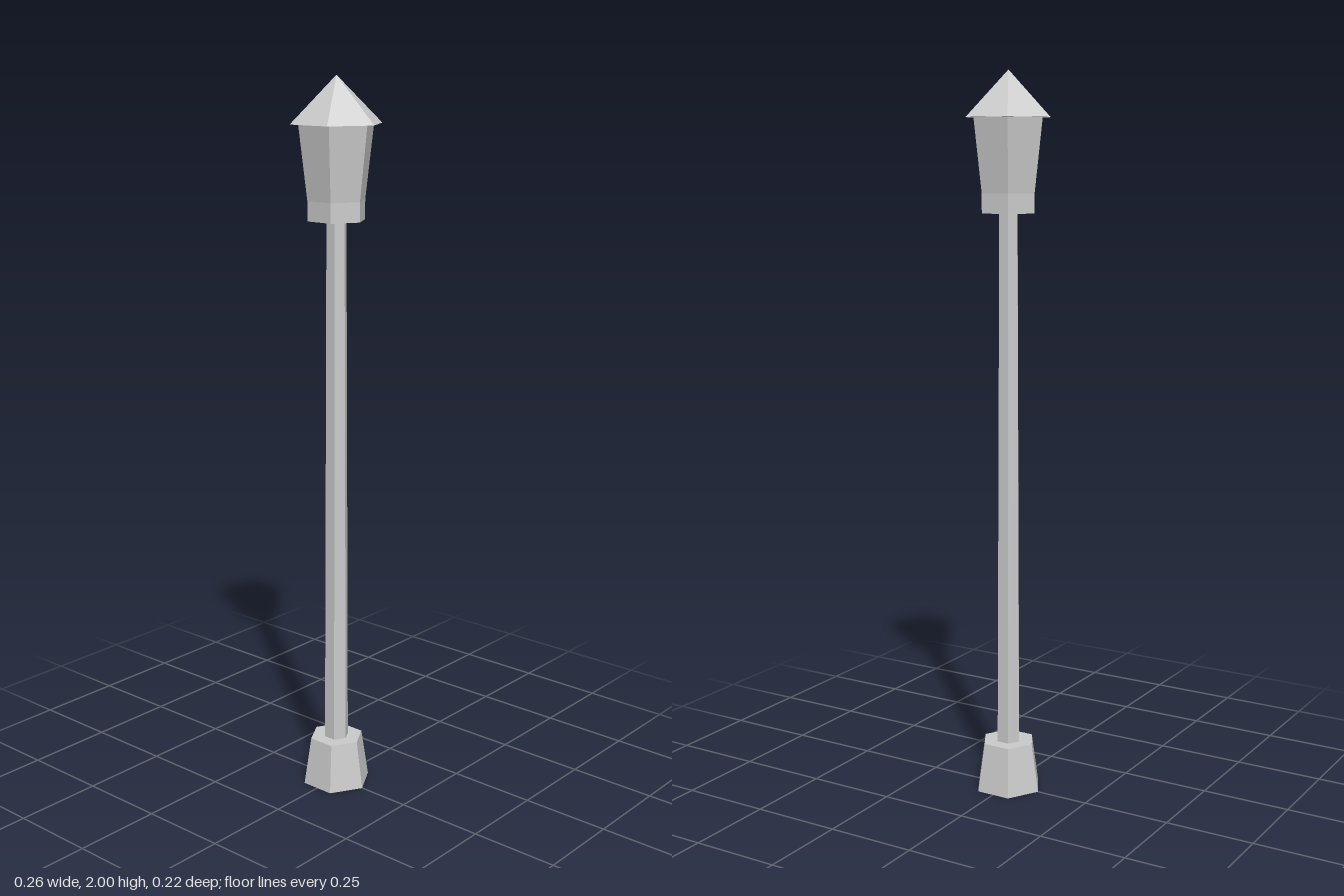
import * as THREE from 'three';

export function createModel() {
  const model = new THREE.Group();
  model.name = 'streetLamp';
  const metal = new THREE.MeshStandardMaterial({ color: 0xcccccc, flatShading: true, side: THREE.DoubleSide });
  metal.name = 'light grey metal';

  // Open six-sided section with corners on the x axis
  function section(name, y0, y1, r0, r1) {
    const geometry = new THREE.CylinderGeometry(r1, r0, y1 - y0, 6, 1, true, Math.PI / 2);
    geometry.translate(0, (y0 + y1) / 2, 0);
    const mesh = new THREE.Mesh(geometry, metal);
    mesh.name = name;
    model.add(mesh);
  }

  // Flat hexagonal plate
  function plate(name, y, r) {
    const geometry = new THREE.CircleGeometry(r, 6);
    geometry.rotateX(-Math.PI / 2);
    geometry.translate(0, y, 0);
    const mesh = new THREE.Mesh(geometry, metal);
    mesh.name = name;
    model.add(mesh);
  }

  // Hollow foot and its top
  section('base', 0, 0.138, 0.098, 0.077);
  plate('baseTop', 0.138, 0.077);

  // Slightly tapered post
  section('post', 0.138, 1.678, 0.035, 0.028);

  // Lantern above a cup that is open underneath
  section('lanternCup', 1.625, 1.678, 0.081, 0.081);
  plate('lanternFloor', 1.678, 0.081);
  section('lantern', 1.678, 1.876, 0.081, 0.105);

  // Pointed roof with closed eaves
  section('roof', 1.876, 2, 0.128, 0);
  plate('eaves', 1.876, 0.128);

  return model;
}
